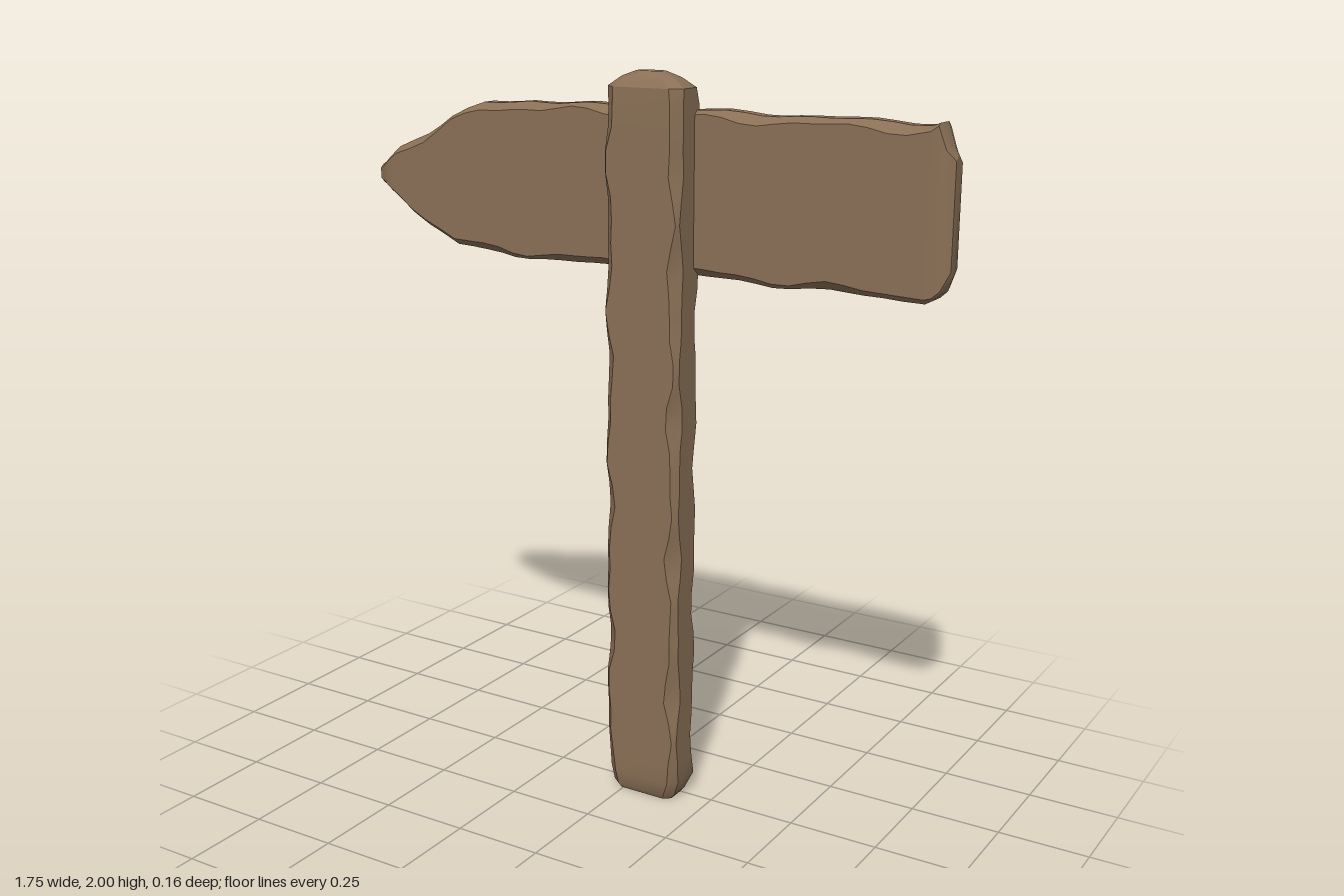
import * as THREE from 'three';
import { toCreasedNormals } from 'three/addons/utils/BufferGeometryUtils.js';

// Eight-cornered section: a rectangle in (u, v) with a chamfer [cu, cv] per corner
function section(w, u0, u1, v0, v1, cut) {
  const [a, b, c, d] = [0, 1, 2, 3].map(cut);
  return [
    [u1, v0 + a[1]], [u1, v1 - b[1]], [u1 - b[0], v1], [u0 + c[0], v1],
    [u0, v1 - c[1]], [u0, v0 + d[1]], [u0 + d[0], v0], [u1 - a[0], v0],
  ].map(([u, v]) => [u, v, w]);
}

// Skin a list of sections and close both ends; place() maps (u, v, w) to x, y, z
function loft(rings, place) {
  const n = 8, pos = [], idx = [];
  rings.forEach((r) => r.forEach((p) => pos.push(...place(p))));
  for (let k = 0; k < rings.length - 1; k++) {
    for (let i = 0; i < n; i++) {
      const a = k * n + i, b = k * n + (i + 1) % n;
      idx.push(a, b, b + n, a, b + n, a + n);
    }
  }
  const last = (rings.length - 1) * n;
  for (let i = 1; i < n - 1; i++) {
    idx.push(0, i + 1, i, last, last + i, last + i + 1);
  }
  const g = new THREE.BufferGeometry();
  g.setAttribute('position', new THREE.Float32BufferAttribute(pos, 3));
  g.setIndex(idx);
  return toCreasedNormals(g, 0.5);
}

// Carved unevenness in 0..1
const wave = (t, k) => 0.5 + 0.3 * Math.sin(t * 17 + k * 2.1) + 0.2 * Math.sin(t * 31 + k * 4.7);

// Straight-line lookup in a list of [x, y] points
function lookup(points, x) {
  let i = 1;
  while (i < points.length - 1 && x > points[i][0]) i++;
  const [x0, y0] = points[i - 1], [x1, y1] = points[i];
  return y0 + (y1 - y0) * (x - x0) / (x1 - x0);
}

function postGeometry() {
  const cut = (y) => (k) => [0.01 + 0.024 * wave(y, k), 0.006 + 0.03 * wave(y, k)];
  const rings = [];
  // rounded foot
  rings.push(section(0, -0.01, 0.065, -0.025, 0.15, () => [0.015, 0.02]));
  rings.push(section(0.015, -0.022, 0.073, -0.036, 0.162, () => [0.02, 0.025]));
  rings.push(section(0.055, -0.04, 0.08, -0.05, 0.175, cut(0.055)));
  // shaft with wavy chamfers
  for (let y = 0.12; y < 1.93; y += 0.06) {
    rings.push(section(y, -0.04, 0.08, -0.05, 0.175, cut(y)));
  }
  // rounded head
  rings.push(section(1.96, -0.036, 0.078, -0.05, 0.175, () => [0.025, 0.03]));
  rings.push(section(1.985, -0.015, 0.062, -0.015, 0.14, () => [0.02, 0.025]));
  rings.push(section(2, 0.005, 0.045, 0.025, 0.1, () => [0.01, 0.015]));
  return loft(rings, ([z, x, y]) => [x, y, z]);
}

function boardGeometry() {
  const top = [[-0.875, 1.7], [-0.84, 1.715], [-0.8, 1.755], [-0.7, 1.8], [-0.6, 1.85], [-0.5, 1.89],
    [-0.35, 1.903], [0.81, 1.9], [0.83, 1.905], [0.85, 1.85], [0.87, 1.825]];
  const bottom = [[-0.875, 1.645], [-0.84, 1.637], [-0.8, 1.61], [-0.7, 1.545], [-0.6, 1.495],
    [-0.5, 1.48], [0.8, 1.474], [0.83, 1.482], [0.85, 1.5], [0.87, 1.545]];
  const xs = [-0.875, -0.855, -0.83, -0.8];
  for (let x = -0.75; x < 0.8; x += 0.05) xs.push(x);
  xs.push(0.81, 0.83, 0.85, 0.87);
  const rings = xs.map((x) => {
    const inset = lookup([[-0.875, 0.022], [-0.83, 0], [0.845, 0], [0.87, 0.02]], x);
    const rough = x > -0.82 && x < 0.82 ? 0.012 : 0;
    const thin = Math.abs(x) > 0.82 ? 0.6 : 1;
    return section(x,
      lookup(bottom, x) + rough * (wave(x, 5) - 0.5),
      lookup(top, x) + rough * (wave(x, 8) - 0.5),
      -0.082 + inset, -0.002 - inset,
      (k) => [thin * (0.008 + 0.018 * wave(x, k)), thin * (0.008 + 0.024 * wave(x, k))]);
  });
  return loft(rings, ([y, z, x]) => [x, y, z]);
}

export function createModel() {
  const wood = new THREE.MeshStandardMaterial({ color: 0x8a7056 });
  wood.name = 'brown wood';
  const group = new THREE.Group();
  group.name = 'woodenSignpost';
  const add = (name, geometry) => {
    const mesh = new THREE.Mesh(geometry, wood);
    mesh.name = name;
    group.add(mesh);
  };
  add('post', postGeometry());
  add('arrowBoard', boardGeometry());
  return group;
}
